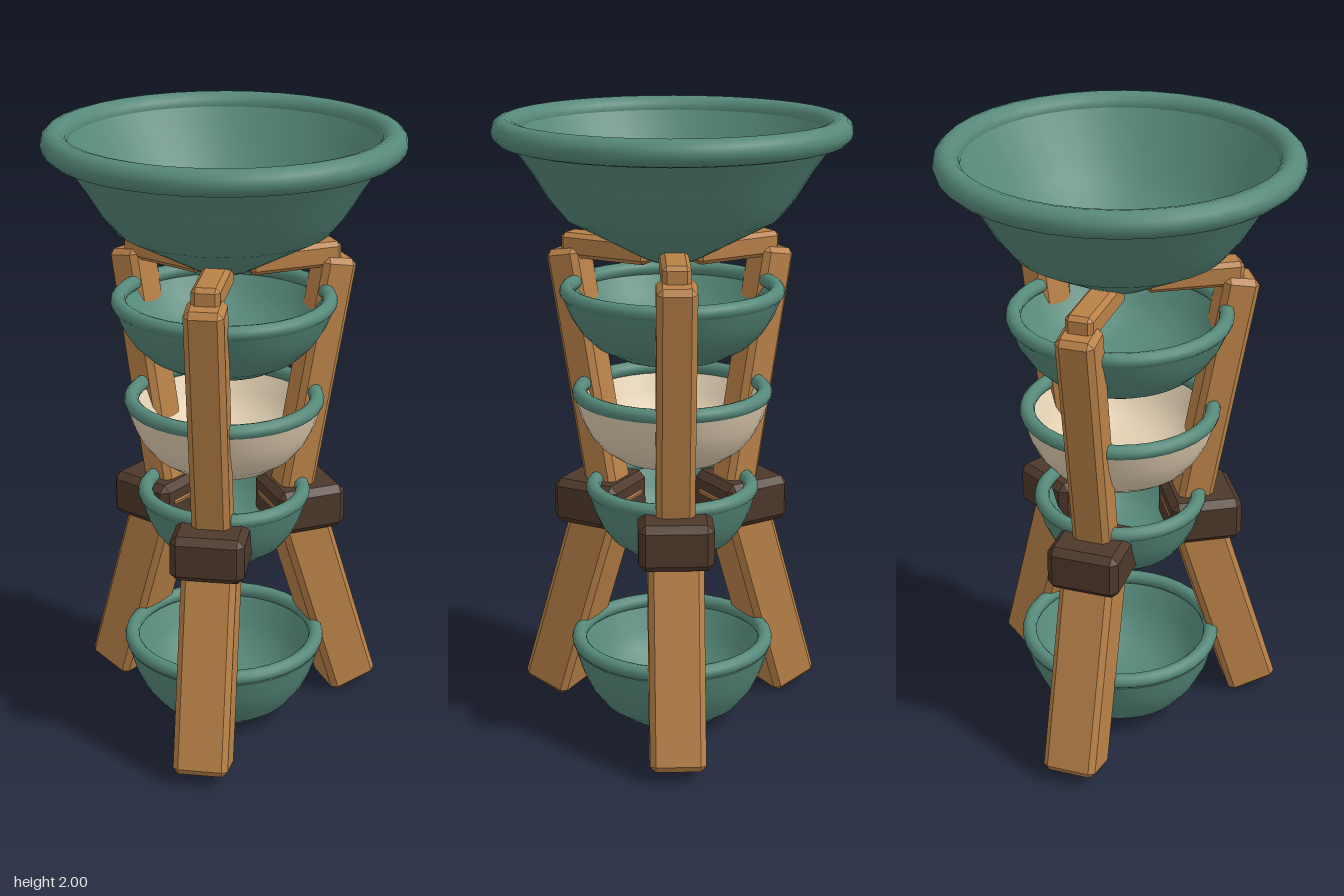
import * as THREE from 'three';
import { toCreasedNormals } from 'three/addons/utils/BufferGeometryUtils.js';
import { ConvexGeometry } from 'three/addons/geometries/ConvexGeometry.js';

const material = (name, color) => {
  const m = new THREE.MeshStandardMaterial({ color });
  m.name = name;
  return m;
};

// Box with chamfered edges and corners
function chamferBox(w, h, d, c) {
  const points = [];
  for (const x of [-1, 1]) for (const y of [-1, 1]) for (const z of [-1, 1]) {
    for (let axis = 0; axis < 3; axis++) {
      const inset = [c, c, c];
      inset[axis] = 0;
      points.push(new THREE.Vector3(
        x * (w / 2 - inset[0]), y * (h / 2 - inset[1]), z * (d / 2 - inset[2])));
    }
  }
  return new ConvexGeometry(points);
}

export function createModel() {
  const model = new THREE.Group();
  const teal = material('teal glaze', 0x56897a);
  const cream = material('cream glaze', 0xe2cfb2);
  const wood = material('warm wood', 0xb98148);
  const dark = material('dark wood', 0x4e382b);

  const add = (parent, name, geometry, mat) => {
    const mesh = new THREE.Mesh(geometry, mat);
    mesh.name = name;
    parent.add(mesh);
    return mesh;
  };

  // Walled vessel of revolution with a round rim
  function vessel(name, profile, rimRadius, tube, rimY, wallMaterial) {
    const group = new THREE.Group();
    group.name = name;
    const lathe = new THREE.LatheGeometry(profile.map(p => new THREE.Vector2(...p)), 36);
    add(group, 'wall', toCreasedNormals(lathe, 0.6), wallMaterial);
    const rim = new THREE.TorusGeometry(rimRadius, tube, 12, 36).rotateX(Math.PI / 2);
    add(group, 'rim', rim, teal).position.y = rimY;
    model.add(group);
  }

  // Wide funnel-shaped basin on top
  vessel('topBasin', [
    [0, 1.55], [0.065, 1.55], [0.1, 1.565], [0.333, 1.69], [0.385, 1.755], [0.43, 1.83], [0.5, 1.93],
    [0.475, 1.96], [0.40, 1.83], [0.355, 1.765], [0.31, 1.71], [0.065, 1.575], [0, 1.575],
  ], 0.514, 0.041, 1.959, teal);

  // Stacked bowls: [name, outer radius, base radius, base y, top y, wall colour]
  const bowls = [
    ['upperBowl', 0.355, 0.18, 1.25, 1.48, teal],
    ['creamBowl', 0.32, 0.18, 0.915, 1.15, cream],
    ['waistBowl', 0.28, 0.15, 0.6, 0.83, teal],
    ['bottomBowl', 0.333, 0.175, 0.02, 0.3, teal],
  ];
  for (const [name, radius, base, y0, y1, mat] of bowls) {
    const h = y1 - y0, tube = 0.024, wall = 0.035, top = radius - 0.008;
    const steps = [[0, 0], [0.38, 0.15], [0.65, 0.34], [0.85, 0.57], [1, 0.84]];
    const outer = steps.map(([t, v]) => [base + (top - base) * t, y0 + h * v]);
    const inner = steps.map(([t, v]) => [
      base + (top - base) * t - wall, y0 + wall + (h - wall - tube) * v]).reverse();
    vessel(name, [[0, y0], ...outer, [radius - tube, y1 - tube], ...inner, [0, y0 + wall]],
      radius - tube, tube, y1 - tube, mat);
  }

  // Beam between two points of the plane through a leg: [radius, height]
  function beam(parent, name, [r0, y0], [r1, y1], width, depth, chamfer) {
    const geometry = chamferBox(width, Math.hypot(r1 - r0, y1 - y0), depth, chamfer);
    const mesh = add(parent, name, geometry, wood);
    mesh.position.set(0, (y0 + y1) / 2, (r0 + r1) / 2);
    mesh.rotation.x = Math.atan2(r1 - r0, y1 - y0);
  }

  // Three legs pinched at the waist, each with a collar and a top bracket
  for (let i = 0; i < 3; i++) {
    const leg = new THREE.Group();
    leg.name = `leg${i + 1}`;
    leg.rotation.y = THREE.MathUtils.degToRad(-7.2 + 120 * i);
    beam(leg, 'lowerLeg', [0.458, 0.024], [0.225, 0.78], 0.175, 0.168, 0.018);
    beam(leg, 'upperLeg', [0.227, 0.7], [0.379, 1.558], 0.122, 0.116, 0.018);
    add(leg, 'collar', chamferBox(0.235, 0.15, 0.235, 0.022), dark).position.set(0, 0.725, 0.27);
    add(leg, 'bracket', chamferBox(0.088, 0.08, 0.31, 0.014), wood).position.set(0, 1.57, 0.23);
    model.add(leg);
  }
  return model;
}
